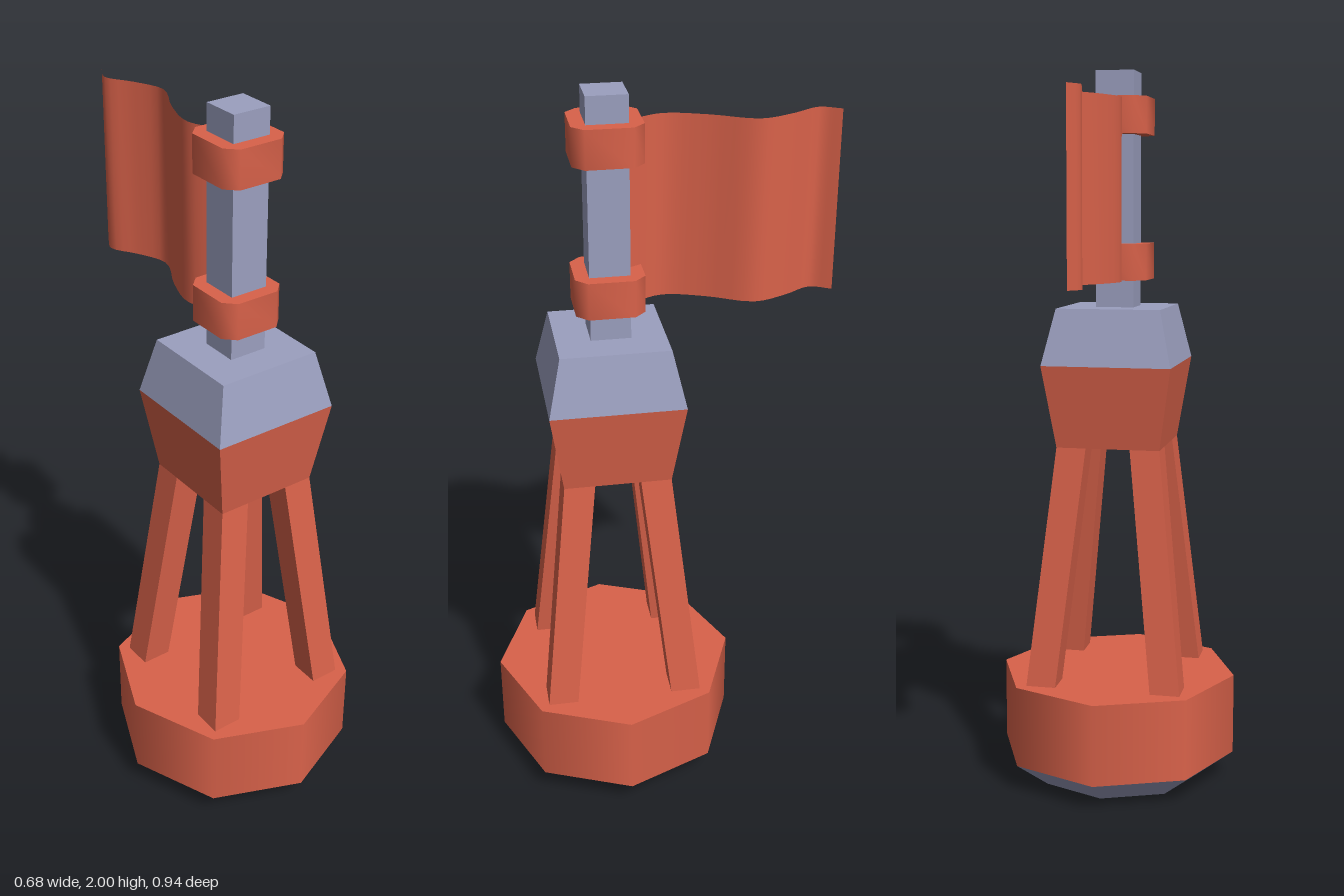
import * as THREE from 'three';
import { toCreasedNormals } from 'three/addons/utils/BufferGeometryUtils.js';

export function createModel() {
  const red = new THREE.MeshStandardMaterial({ color: 0xd9624a });
  red.name = 'buoyRed';
  const grey = new THREE.MeshStandardMaterial({ color: 0x9b9fbf });
  grey.name = 'metalGrey';
  const flagRed = new THREE.MeshStandardMaterial({ color: 0xd9624a, side: THREE.DoubleSide });
  flagRed.name = 'flagRed';

  const model = new THREE.Group();
  model.name = 'buoy';
  const tower = new THREE.Group(); // everything is centred on the mast axis
  tower.name = 'tower';
  tower.position.z = 0.13;
  model.add(tower);

  const add = (name, geometry, material, y = 0) => {
    const mesh = new THREE.Mesh(geometry, material);
    mesh.name = name;
    mesh.position.y = y;
    tower.add(mesh);
    return mesh;
  };

  // Eight-sided float with a tapered keel
  const drum = (name, rTop, rBottom, y0, y1, material) =>
    add(name, new THREE.CylinderGeometry(rTop, rBottom, y1 - y0, 8), material, (y0 + y1) / 2);
  drum('float', 0.34, 0.34, 0.075, 0.305, red);
  drum('keel', 0.34, 0.24, 0, 0.075, grey);

  // Four leaning legs: boxes whose top end is moved inward
  const leg = (sx, sz) => {
    const g = new THREE.BoxGeometry(1, 0.675, 1);
    const p = g.attributes.position;
    for (let i = 0; i < p.count; i++) {
      const top = p.getY(i) > 0;
      const centre = top ? 0.103 : 0.176;
      p.setX(i, sx * centre + p.getX(i) * 0.083);
      p.setZ(i, sz * centre + p.getZ(i) * 0.083);
    }
    g.computeVertexNormals();
    add('leg', g, red, 0.305 + 0.3375);
  };
  for (const sx of [-1, 1]) for (const sz of [-1, 1]) leg(sx, sz);

  // Square housing flaring out, then a grey cap tapering in
  const frustum = (name, halfTop, halfBottom, y0, y1, material) => {
    const g = new THREE.CylinderGeometry(halfTop * Math.SQRT2, halfBottom * Math.SQRT2, y1 - y0, 4);
    g.rotateY(Math.PI / 4);
    add(name, toCreasedNormals(g, 0.1), material, (y0 + y1) / 2);
  };
  frustum('housing', 0.18, 0.145, 0.975, 1.205, red);
  frustum('housingCap', 0.145, 0.18, 1.205, 1.36, grey);

  // Mast
  add('mast', new THREE.BoxGeometry(0.106, 0.64, 0.106), grey, 1.68);

  // Chamfered collars holding the flag
  const h = 0.09, c = 0.06;
  const outline = new THREE.Shape(
    [[h, -c], [h, c], [c, h], [-c, h], [-h, c], [-h, -c], [-c, -h], [c, -h]]
      .map(([x, y]) => new THREE.Vector2(x, y)));
  const collar = new THREE.ExtrudeGeometry(outline, { depth: 0.1, bevelEnabled: false });
  collar.rotateX(-Math.PI / 2);
  const collarGeometry = toCreasedNormals(collar, 0.9);
  add('lowerCollar', collarGeometry, red, 1.435);
  add('upperCollar', collarGeometry, red, 1.83);

  // Rippling flag trailing behind the mast
  const ripple = new THREE.CatmullRomCurve3(
    [[0, -0.06], [-0.04, -0.15], [-0.01, -0.26], [0.045, -0.38], [0.015, -0.47], [-0.025, -0.545], [0, -0.6]]
      .map(([x, z]) => new THREE.Vector3(x, 0, z)));
  const flag = new THREE.PlaneGeometry(1, 0.487, 24, 1);
  const p = flag.attributes.position;
  for (let i = 0; i < p.count; i++) {
    const v = ripple.getPoint(p.getX(i) + 0.5);
    p.setX(i, v.x);
    p.setZ(i, v.z);
  }
  flag.computeVertexNormals();
  add('flag', flag, flagRed, 1.678);

  return model;
}
